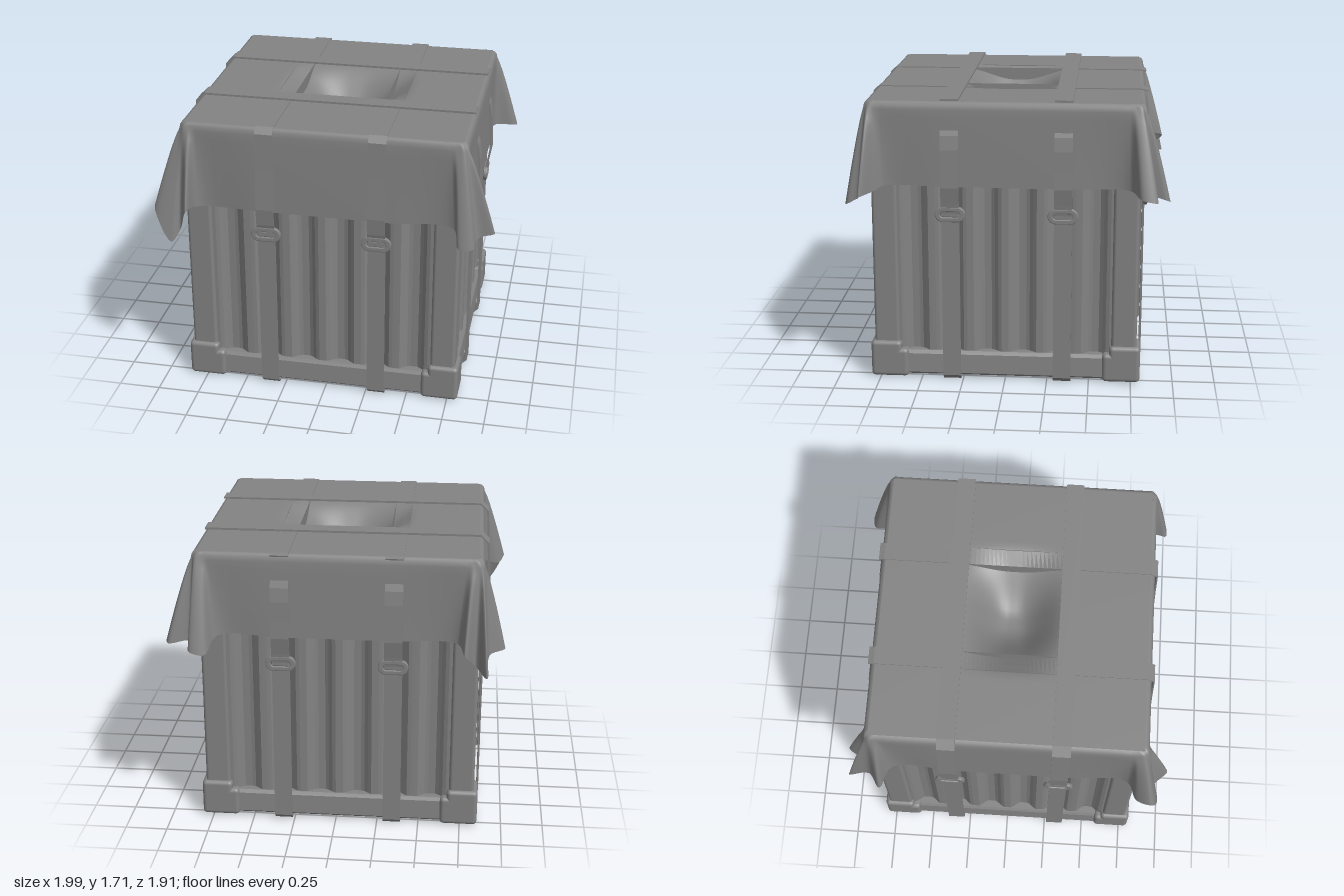
import * as THREE from 'three';
import { RoundedBoxGeometry } from 'three/addons/geometries/RoundedBoxGeometry.js';

const HX = 0.822, HZ = 0.792, CX = -0.02; // crate half sizes and centre
const mat = new THREE.MeshStandardMaterial({ color: 0x838383, side: THREE.DoubleSide });

function add(parent, name, geo, x = 0, y = 0, z = 0) {
  const mesh = new THREE.Mesh(geo, mat);
  mesh.name = name;
  mesh.position.set(x, y, z);
  parent.add(mesh);
  return mesh;
}

// Depth of the hollow in the middle of the cover
const ease = (d, a, b) => 1 - THREE.MathUtils.smoothstep(Math.abs(d), a, b);
const sag = (x, z) => 0.23 * ease(x + 0.01, 0.03, 0.42) * ease(z + 0.01, 0.03, 0.34);

// Flat band following a path in a (u, y) plane; along 'x' or 'z', centred at c
function strapGeo(path, axis, c, width = 0.105, thick = 0.012) {
  const pts = path.map(p => new THREE.Vector2(...p));
  const inner = pts.map((p, i) => {
    const d = pts[Math.min(i + 1, pts.length - 1)].clone().sub(pts[Math.max(i - 1, 0)]).normalize();
    return new THREE.Vector2(p.x - d.y * thick, p.y + d.x * thick);
  });
  const geo = new THREE.ExtrudeGeometry(new THREE.Shape([...pts, ...inner.reverse()]),
    { depth: width, bevelEnabled: false });
  geo.translate(0, 0, -width / 2);
  if (axis === 'z') geo.rotateY(-Math.PI / 2).translate(c, 0, 0);
  else geo.translate(0, 0, c);
  return geo;
}

// Rounded slot outline for the buckles
function slot(Type, w, h) {
  const s = new Type(), r = h / 2, a = w / 2 - r;
  s.absarc(a, 0, r, -Math.PI / 2, Math.PI / 2, false);
  s.absarc(-a, 0, r, Math.PI / 2, Math.PI * 1.5, false);
  s.closePath();
  return s;
}

function buckle() {
  const g = new THREE.Group();
  g.name = 'buckle';
  const ring = slot(THREE.Shape, 0.165, 0.08);
  ring.holes.push(slot(THREE.Path, 0.125, 0.045));
  add(g, 'buckleRing', new THREE.ExtrudeGeometry(ring,
    { depth: 0.012, bevelSize: 0.006, bevelThickness: 0.006, bevelSegments: 2, curveSegments: 8 }));
  add(g, 'buckleBar', new RoundedBoxGeometry(0.11, 0.035, 0.016, 2, 0.006), 0, 0, 0.004);
  return g;
}

// Crate body: one plan outline with ribbed sides
function buildBody(g) {
  const outline = [], n = 72;
  for (let s = 0; s < 4; s++) {
    const a = s % 2 ? HX : HZ, len = s % 2 ? HZ : HX;
    for (let i = 0; i < n; i++) {
      const t = -1 + 2 * i / n;
      const wave = THREE.MathUtils.clamp(Math.cos(t * Math.PI * 7) * 1.5, -1, 1);
      const d = a - 0.05 + (Math.abs(t) < 0.93 ? 0.02 * wave : -0.02);
      const u = t * (len - 0.05);
      outline.push(new THREE.Vector2(...[[u, -d], [d, u], [-u, d], [-d, -u]][s]));
    }
  }
  const geo = new THREE.ExtrudeGeometry(new THREE.Shape(outline), { depth: 1.37, bevelEnabled: false });
  add(g, 'ribbedWalls', geo.rotateX(-Math.PI / 2), CX, 0.05, 0);

  // Sloped bottom rails
  const profile = new THREE.Shape([[-0.1, 0.02], [-0.02, 0.02], [-0.004, 0.035], [-0.012, 0.15], [-0.025, 0.17], [-0.1, 0.17]]
    .map(p => new THREE.Vector2(...p)));
  for (let s = 0; s < 4; s++) {
    const [out, len] = s % 2 ? [HZ, HX] : [HX, HZ];
    const rail = new THREE.ExtrudeGeometry(profile, { depth: 2 * len - 0.2, bevelEnabled: false });
    rail.translate(out, 0, 0.1 - len).rotateY(s * Math.PI / 2);
    add(g, 'bottomRail', rail, CX);
  }

  // Corner posts and stepped corner caps
  for (const sx of [-1, 1]) for (const sz of [-1, 1]) {
    add(g, 'cornerPost', new RoundedBoxGeometry(0.15, 1.35, 0.15, 2, 0.02),
      CX + sx * (HX - 0.085), 0.82, sz * (HZ - 0.085));
    add(g, 'cornerCap', new RoundedBoxGeometry(0.225, 0.175, 0.225, 3, 0.025),
      CX + sx * (HX - 0.1), 0.095, sz * (HZ - 0.1));
    add(g, 'cornerCapTop', new RoundedBoxGeometry(0.185, 0.2, 0.185, 3, 0.025),
      CX + sx * (HX - 0.08), 0.13, sz * (HZ - 0.08));
  }
}

// Cloth cover: sagging top and a skirt whose corners fall in folds
function buildCover(g) {
  const top = new THREE.PlaneGeometry(1.612, 1.564, 56, 56).rotateX(-Math.PI / 2).translate(-0.01, 1.695, 0);
  const p = top.attributes.position;
  for (let i = 0; i < p.count; i++) p.setY(i, p.getY(i) - sag(p.getX(i), p.getZ(i)));
  top.computeVertexNormals();
  add(g, 'coverTop', top);

  // Hem of each corner fold
  const hems = [
    [[.83, .70, 1.2], [.88, .75, 1.18], [.995, .82, 1.17], [.90, .84, 1.14], [.88, .91, 1.1], [.80, .92, 1.1], [.76, .83, 1.18]],
    [[-.74, .82, 1.18], [-.78, .955, 1.2], [-.84, .89, 1.05], [-.89, .92, .98], [-.995, .87, 1.18], [-.96, .78, 1.15], [-.86, .72, 1.18]],
    [[-.86, -.68, 1.2], [-.98, -.75, 1.15], [-.89, -.82, 1.13], [-.88, -.955, 1.04], [-.81, -.86, 1.08], [-.75, -.95, 1.17], [-.70, -.83, 1.2]],
    [[.68, -.83, 1.2], [.74, -.945, 1.12], [.83, -.945, 1.14], [.84, -.85, 1.17], [.96, -.88, 1.16], [.97, -.79, 1.18], [.84, -.72, 1.2]],
  ];
  const inset = [0.1, 0.06, 0.025, 0.012, 0.025, 0.06, 0.1];
  const V = (x, z, y) => new THREE.Vector3(x, y, z);
  const shoulders = hems.map((hem, k) => {
    const sx = k === 0 || k === 3 ? 1 : -1, sz = k < 2 ? 1 : -1;
    return inset.map((a, i) => {
      const alongZ = (i < 3) === (k % 2 === 0);
      const dx = i === 3 ? a : alongZ ? 0 : a, dz = i === 3 ? a : alongZ ? a : 0;
      return V(-0.01 + sx * (0.835 - dx), sz * (0.81 - dz), 1.65);
    });
  });
  const lows = hems.map(h => h.map(q => V(...q)));
  const loop = sets => {
    const pts = [];
    sets.forEach((set, k) => {
      const next = sets[(k + 1) % 4][0];
      pts.push(...set);
      for (const t of [0.25, 0.5, 0.75]) pts.push(set[6].clone().lerp(next, t));
    });
    const curve = new THREE.CatmullRomCurve3(pts, true);
    return Array.from({ length: 240 }, (_, i) => curve.getPoint(i / 240));
  };
  const upper = loop(shoulders), lower = loop(lows);
  const shrink = (k, y) => upper.map(q => V(-0.01 + (q.x + 0.01) * k, q.z * k, y));
  const rings = [shrink(0.965, 1.695), shrink(0.982, 1.69), shrink(0.994, 1.675)];
  for (let r = 0; r <= 10; r++) {
    const t = r / 10, out = Math.pow(t, 0.85);
    rings.push(upper.map((q, i) => V(
      THREE.MathUtils.lerp(q.x, lower[i].x, out),
      THREE.MathUtils.lerp(q.z, lower[i].z, out),
      THREE.MathUtils.lerp(q.y, lower[i].y, t))));
  }
  const index = [];
  for (let r = 0; r < rings.length - 1; r++) for (let i = 0; i < 240; i++) {
    const a = r * 240 + i, b = r * 240 + (i + 1) % 240;
    index.push(a, b, a + 240, b, b + 240, a + 240);
  }
  const skirt = new THREE.BufferGeometry().setFromPoints(rings.flat());
  skirt.setIndex(index);
  skirt.computeVertexNormals();
  add(g, 'coverSkirt', skirt);
}

function buildStraps(g) {
  for (const c of [-0.34, 0.315]) {
    // Lower slings pass under the crate
    const sling = (lo, hi) => [[lo, 1.04], [lo, 0.03], [lo + 0.02, 0.012], [hi - 0.02, 0.012], [hi, 0.03], [hi, 1.04]].reverse();
    add(g, 'lowerStrap', strapGeo(sling(CX - HX - 0.008, CX + HX + 0.008), 'x', c));
    add(g, 'lowerStrap', strapGeo(sling(-HZ - 0.012, HZ + 0.012), 'z', c));

    // Upper strap across the cover, hanging on the right-hand side
    add(g, 'upperStrapAcross', strapGeo([[-0.865, 1.04], [-0.872, 1.1], [-0.885, 1.25], [-0.872, 1.45],
      [-0.86, 1.66], [-0.82, 1.7], [0.815, 1.7]], 'x', c));

    // Upper strap front to back, dipping into the hollow
    const run = [[-0.82, 1.685], [-0.79, 1.693]];
    for (let i = 0; i <= 32; i++) run.push([-0.4 + i * 0.025, 1.693]);
    run.push([0.785, 1.693], [0.818, 1.665], [0.826, 1.45], [0.838, 1.2], [0.828, 1.1], [0.812, 1.04]);
    const geo = strapGeo(run, 'z', c, 0.105, 0.008);
    const p = geo.attributes.position;
    for (let i = 0; i < p.count; i++) p.setY(i, p.getY(i) - sag(p.getX(i), p.getZ(i)));
    geo.computeVertexNormals();
    add(g, 'upperStrapLengthwise', geo);

    // Short hanging ends on the other two sides
    const tail = o => [[o - 0.008, 1.54], [o + 0.006, 1.5], [o + 0.018, 1.42], [o + 0.022, 1.3],
      [o + 0.026, 1.2], [o + 0.008, 1.1], [o, 1.04]];
    add(g, 'hangingStrap', strapGeo(tail(0.82), 'x', c));
    add(g, 'hangingStrap', strapGeo(tail(0.815), 'z', -c).rotateY(Math.PI));

    // Buckles on all four sides
    const spots = [[c, 0.815, 0], [c, -0.815, Math.PI], [0.82, c, Math.PI / 2], [-0.865, c, -Math.PI / 2]];
    for (const [x, z, turn] of spots) {
      const b = buckle();
      b.position.set(x, 1.035, z);
      b.rotation.y = turn;
      g.add(b);
    }
  }
}

export function createModel() {
  const model = new THREE.Group();
  model.name = 'coveredCrate';
  for (const [name, build] of [['crate', buildBody], ['cover', buildCover], ['straps', buildStraps]]) {
    const part = new THREE.Group();
    part.name = name;
    build(part);
    model.add(part);
  }
  return model;
}
